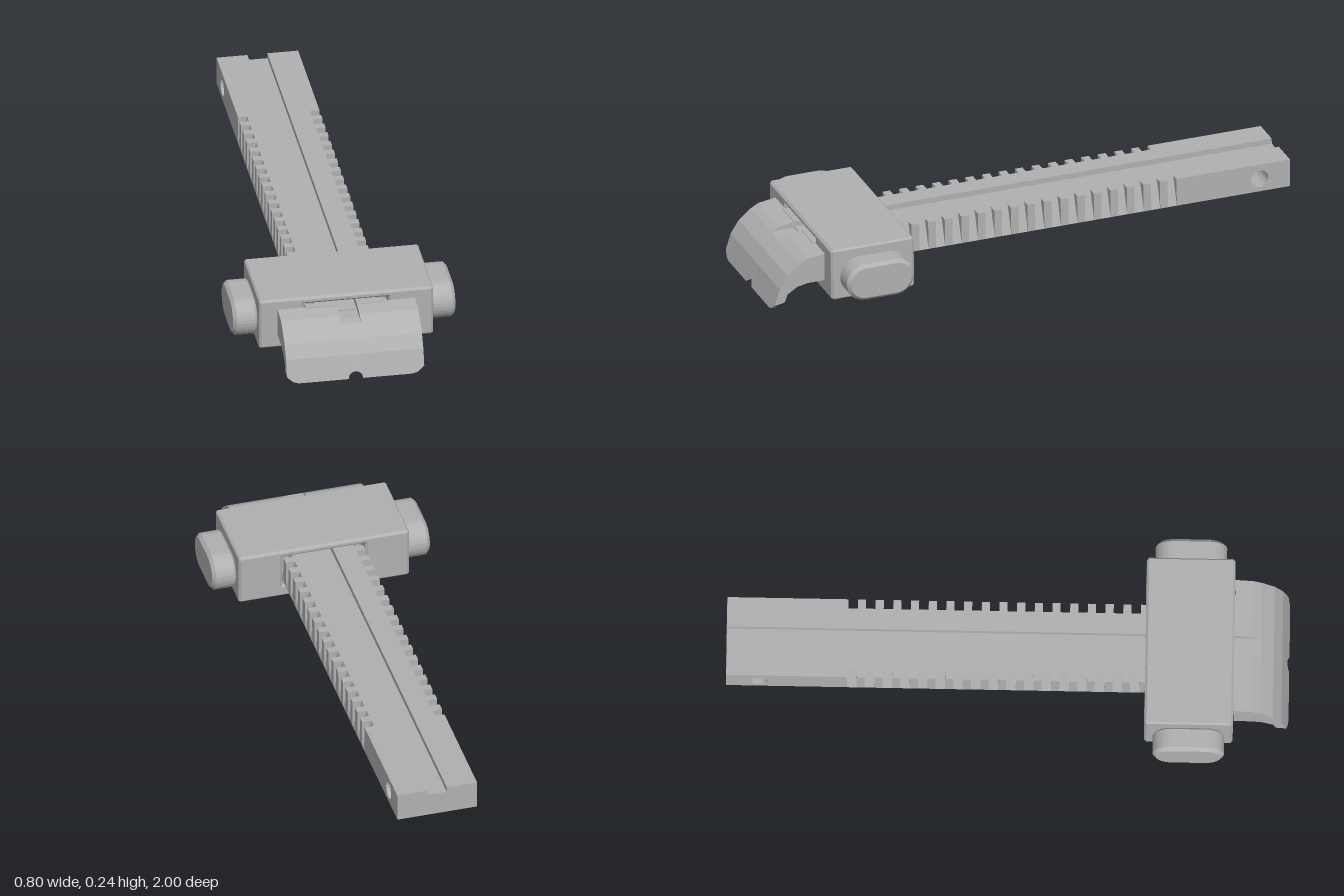
import * as THREE from 'three';

const gray = new THREE.MeshStandardMaterial({ color: 0xb0b0b0, flatShading: true });
gray.name = 'plain gray';

const CX = -0.0175; // symmetry plane of the tool
const TILT = 0.0125; // slight downward slope of the bar towards the jaw

function add(parent, name, geometry, x = 0, y = 0, z = 0) {
  const mesh = new THREE.Mesh(geometry, gray);
  mesh.name = name;
  mesh.position.set(x, y, z);
  parent.add(mesh);
  return mesh;
}

const polygon = (points) => new THREE.Shape(points.map(([x, y]) => new THREE.Vector2(x, y)));

function extrude(shape, depth, bevel = 0) {
  return new THREE.ExtrudeGeometry(shape, {
    depth: depth - 2 * bevel, curveSegments: 8, bevelEnabled: bevel > 0,
    bevelSize: bevel, bevelThickness: bevel, bevelOffset: -bevel, bevelSegments: 1,
  }).translate(0, 0, bevel);
}

// Extrusion of a (z, y) outline across x, centred on x = 0
const extrudeAcross = (shape, width, bevel) =>
  extrude(shape, width, bevel).translate(0, 0, -width / 2).rotateY(-Math.PI / 2);

// Toothed bar: grooved top, wedge-shaped notches along both edges
function createBar() {
  const bar = new THREE.Group();
  bar.name = 'toothedBar';
  const half = 0.147, notchHalf = 0.113, groove = 0.036, h = 0.105, floor = 0.085;
  const section = (top) => polygon([
    [-half, 0], [half, 0], [top, h], [groove, h], [groove, floor],
    [-groove, floor], [-groove, h], [-top, h],
  ]);

  // Plain tail with a cross hole
  const tailEnd = -0.57;
  const tail = polygon([[-1, 0], [tailEnd, 0], [tailEnd, floor], [-1, floor]]);
  tail.holes.push(new THREE.Path().absarc(-0.885, 0.049, 0.033, 0, Math.PI * 2, true));
  add(bar, 'tail', extrudeAcross(tail, half * 2));
  for (const s of [-1, 1]) {
    add(bar, 'tailRail', new THREE.BoxGeometry(half - groove, h - floor, tailEnd + 1),
      s * (half + groove) / 2, (h + floor) / 2, (tailEnd - 1) / 2);
  }

  // Alternating notches and teeth
  const pitch = 0.0628, gap = 0.034, count = 22;
  const notch = extrude(section(notchHalf), gap);
  const tooth = extrude(section(half), pitch - gap);
  for (let i = 0; i < count; i++) {
    const z = tailEnd + i * pitch;
    add(bar, 'notch', notch, 0, 0, z);
    add(bar, 'tooth', tooth, 0, 0, z + gap);
  }
  bar.position.set(CX, 0.103, 0);
  return bar;
}

// Sliding block with a slot for the bar, and a rounded button on each side
function createSlider() {
  const slider = new THREE.Group();
  slider.name = 'slider';
  const w = 0.314, lo = 0.051, hi = 0.245, c = 0.006;
  const body = polygon([
    [-w + c, lo], [w - c, lo], [w, lo + c], [w, hi - c],
    [w - c, hi], [-w + c, hi], [-w, hi - c], [-w, lo + c],
  ]);
  body.holes.push(polygon([[-0.153, 0.098], [-0.153, 0.219], [0.153, 0.219], [0.153, 0.098]]));
  add(slider, 'sliderBody', extrude(body, 0.315, 0.008), 0, 0, 0.487);

  const r = 0.07, straight = 0.057;
  const outline = new THREE.Shape();
  outline.absarc(straight, 0, r, -Math.PI / 2, Math.PI / 2, false);
  outline.absarc(-straight, 0, r, Math.PI / 2, Math.PI * 1.5, false);
  const button = extrudeAcross(outline, 0.092, 0.012);
  for (const s of [-1, 1]) {
    add(slider, s > 0 ? 'leftButton' : 'rightButton', button, s * 0.355, 0.141, 0.645);
  }
  slider.position.x = CX;
  return slider;
}

// Curved jaw: (z, y) profiles lofted across x, with a top groove and a round notch below
function createJaw() {
  const outer = [[0.805, 0.197], [0.87, 0.187], [0.9, 0.17], [0.945, 0.132], [0.975, 0.085], [1, 0]];
  const inner = [[0.805, 0.093], [0.87, 0.092], [0.91, 0.083], [0.945, 0.06], [0.957, 0.03], [0.982, 0.006]];
  const n = outer.length, r = 0.026;
  const side = [0.01, 0.0185, 0.0235, r, 0.036, 0.0362, 0.205, 0.225, 0.2475];
  const xs = [...side.map((x) => -x).reverse(), 0, ...side];
  const positions = [], index = [];

  for (const x of xs) {
    const a = Math.abs(x);
    const notch = a < r ? Math.sqrt(r * r - a * a) : 0;
    const corner = a > 0.205 ? 0.025 * ((a - 0.205) / 0.0425) ** 2 : 0;
    const lift = Math.max(notch, corner);
    const top = outer.map(([z, y]) => {
      const yy = Math.max(a < 0.0361 ? Math.min(y, 0.174) : y, lift);
      return [y === 0 ? z - 0.25 * lift : z, yy];
    });
    const under = inner.map(([z, y], k) =>
      [z + (k ? 0.3 * notch : 0), Math.max(y + notch, lift)]);
    for (const [z, y] of [...top, ...under.reverse()]) positions.push(x, y, z);
  }

  const ring = 2 * n, last = (xs.length - 1) * ring;
  for (let i = 0; i < xs.length - 1; i++) {
    for (let j = 0; j < ring; j++) {
      const a = i * ring + j, b = i * ring + (j + 1) % ring;
      index.push(a, b, a + ring, b, b + ring, a + ring);
    }
  }
  // Side caps
  for (let k = 0; k < n - 1; k++) {
    const o0 = k, o1 = k + 1, i0 = ring - 1 - k, i1 = ring - 2 - k;
    index.push(o0, i0, o1, o1, i0, i1);
    index.push(last + o0, last + o1, last + i0, last + o1, last + i1, last + i0);
  }
  const geometry = new THREE.BufferGeometry();
  geometry.setAttribute('position', new THREE.Float32BufferAttribute(positions, 3));
  geometry.setIndex(index);
  const flat = geometry.toNonIndexed();
  flat.computeVertexNormals();
  return flat;
}

export function createModel() {
  const model = new THREE.Group();
  model.name = 'slidingClamp';
  const tilted = new THREE.Group();
  tilted.name = 'barAndSlider';
  tilted.rotation.x = TILT;
  tilted.add(createBar(), createSlider());
  model.add(tilted);
  add(model, 'jaw', createJaw(), CX);
  return model;
}
